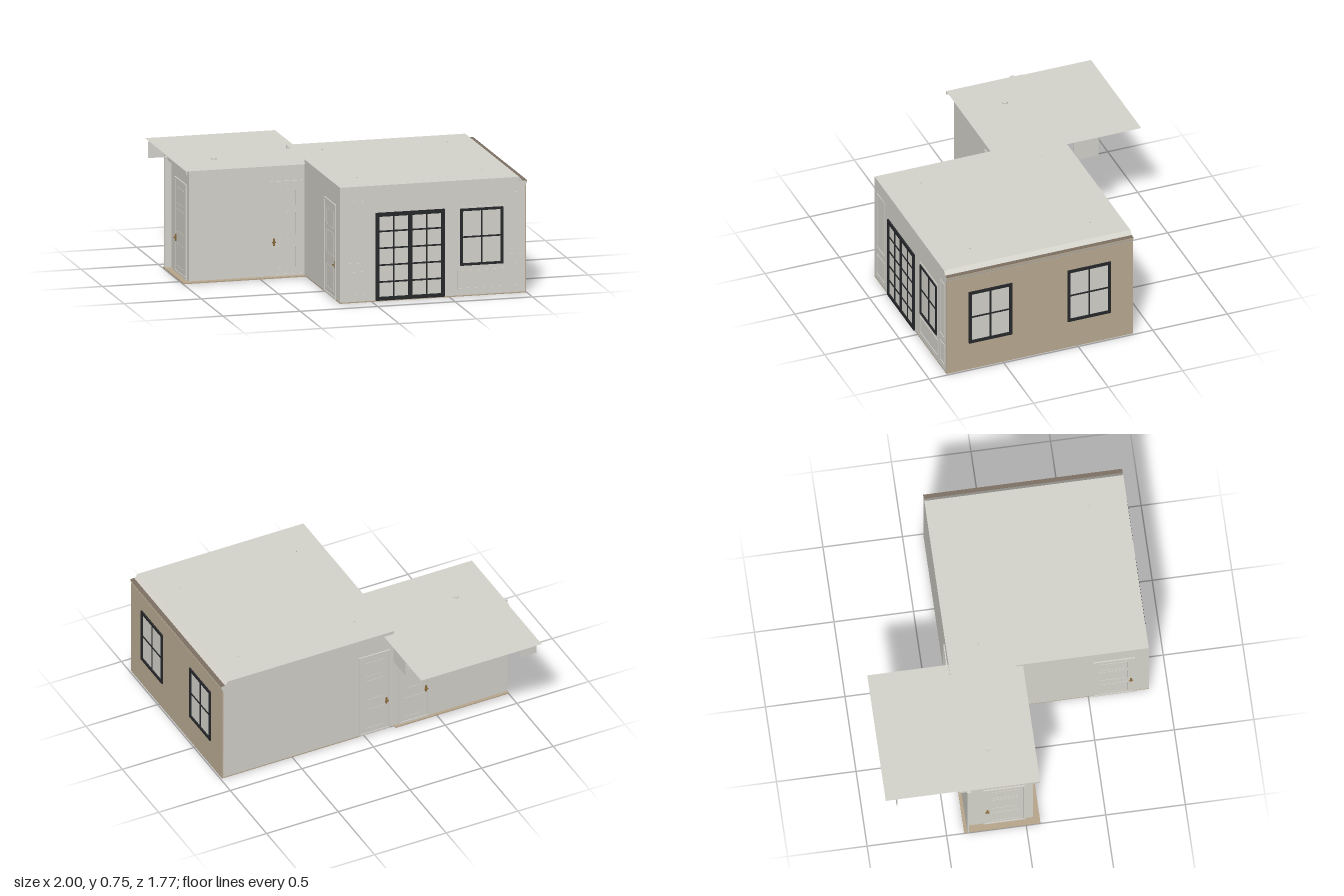
import * as THREE from 'three';

export function createModel() {
  const model = new THREE.Group();
  const mat = (name, color, side = THREE.FrontSide) => {
    const m = new THREE.MeshStandardMaterial({ color, side });
    m.name = name;
    return m;
  };
  const plaster = mat('plaster grey', 0xd6d4cc, THREE.DoubleSide);
  const tan = mat('accent tan', 0xbbac94);
  const wood = mat('floor wood', 0xb8a68c);
  const black = mat('frame black', 0x26282b);
  const brass = mat('handle brass', 0x8a6a3a);
  const brown = mat('ledge brown', 0x7d7163);

  // Box given by its limits on each axis
  function box(name, m, x0, x1, y0, y1, z0, z1, parent = model) {
    const mesh = new THREE.Mesh(new THREE.BoxGeometry(x1 - x0, y1 - y0, z1 - z0), m);
    mesh.position.set((x0 + x1) / 2, (y0 + y1) / 2, (z0 + z1) / 2);
    mesh.name = name;
    parent.add(mesh);
    return mesh;
  }

  // Flat horizontal sheet
  function sheet(name, m, x0, x1, z0, z1, y) {
    const mesh = new THREE.Mesh(new THREE.PlaneGeometry(x1 - x0, z1 - z0), m);
    mesh.rotation.x = -Math.PI / 2;
    mesh.position.set((x0 + x1) / 2, y, (z0 + z1) / 2);
    mesh.name = name;
    model.add(mesh);
  }

  // A group whose local +z points outward from a wall
  function onWall(name, x, z, turn) {
    const g = new THREE.Group();
    g.name = name;
    g.position.set(x, 0, z);
    g.rotation.y = turn;
    model.add(g);
    return g;
  }

  // Rectangular border of four bars
  function border(name, m, x0, x1, y0, y1, t, depth, g) {
    box(name, m, x0, x0 + t, y0, y1, 0, depth, g);
    box(name, m, x1 - t, x1, y0, y1, 0, depth, g);
    box(name, m, x0 + t, x1 - t, y0, y0 + t, 0, depth, g);
    box(name, m, x0 + t, x1 - t, y1 - t, y1, 0, depth, g);
  }

  // Glazed panel with border and glazing bars
  function glazed(g, x0, x1, y0, y1, cols, rows, t) {
    box('glass', plaster, x0 + t, x1 - t, y0 + t, y1 - t, 0, 0.002, g);
    border('frame', black, x0, x1, y0, y1, t, 0.01, g);
    for (let i = 1; i < cols; i++) {
      const x = x0 + (x1 - x0) * i / cols;
      box('glazingBar', black, x - 0.005, x + 0.005, y0 + t, y1 - t, 0, 0.007, g);
    }
    for (let i = 1; i < rows; i++) {
      const y = y0 + (y1 - y0) * i / rows;
      box('glazingBar', black, x0 + t, x1 - t, y - 0.005, y + 0.005, 0, 0.006, g);
    }
  }

  // Panelled door with casing and handle
  function door(name, x, z, turn, w, handleSide) {
    const g = onWall(name, x, z, turn);
    border('casing', plaster, -w / 2 - 0.012, w / 2 + 0.012, 0.01, 0.615, 0.012, 0.008, g);
    box('leaf', plaster, -w / 2, w / 2, 0.012, 0.603, 0, 0.003, g);
    for (const [a, b] of [[0.05, 0.2], [0.27, 0.42], [0.45, 0.56]])
      border('panelMoulding', plaster, -w / 2 + 0.03, w / 2 - 0.03, a, b, 0.006, 0.005, g);
    const hx = handleSide * (w / 2 - 0.012);
    box('handlePlate', brass, hx - 0.006, hx + 0.006, 0.205, 0.25, 0, 0.007, g);
    box('handle', brass, hx - 0.012, hx + 0.012, 0.224, 0.231, 0.007, 0.016, g);
  }

  // Floors and rug
  box('mainFloor', wood, -0.21, 0.99, 0.003, 0.01, -0.37, 0.88);
  box('hallFloor', wood, -1, -0.21, 0.003, 0.01, -0.39, 0.09);
  box('rug', plaster, 0.23, 0.92, 0, 0.013, -0.01, 0.65);

  // Walls
  box('frontWall', plaster, -0.21, 0.985, 0.01, 0.718, 0.87, 0.88);
  box('frontWallTop', plaster, -0.21, 0.95, 0.718, 0.744, 0.87, 0.88);
  box('leftWall', plaster, -0.21, -0.2, 0.01, 0.744, 0.05, 0.87);
  box('backWall', plaster, -1, 0.985, 0.01, 0.718, -0.37, -0.36);
  box('backWallTop', plaster, -0.21, 0.95, 0.718, 0.744, -0.37, -0.36);
  box('accentWall', tan, 0.98, 0.992, 0.003, 0.69, -0.37, 0.88);
  box('hallFrontWall', plaster, -0.955, -0.21, 0.01, 0.72, 0.04, 0.05);
  box('hallEndWall', plaster, -0.955, -0.945, 0.01, 0.72, -0.36, 0.04);

  // Ceilings
  sheet('mainCeiling', plaster, -0.21, 0.945, -0.37, 0.88, 0.745);
  sheet('hallCeiling', plaster, -0.98, -0.14, -0.88, 0.09, 0.722);
  box('ceilingEdgeTrim', plaster, -0.985, -0.975, 0.7, 0.722, -0.42, 0.09);
  box('cornerBracket', plaster, -1, -0.98, 0.7, 0.72, -0.37, -0.345);

  // Crown moulding along the accent wall
  const profile = new THREE.Shape();
  [[0.94, 0.745], [0.947, 0.745], [0.972, 0.718], [0.996, 0.718], [0.996, 0.705],
    [0.99, 0.69], [0.975, 0.69]].forEach(([x, y], i) => i ? profile.lineTo(x, y) : profile.moveTo(x, y));
  const crown = new THREE.Mesh(
    new THREE.ExtrudeGeometry(profile, { depth: 1.25, bevelEnabled: false }), plaster);
  crown.position.z = -0.37;
  crown.name = 'crownMoulding';
  model.add(crown);
  box('crownBand', tan, 0.994, 0.998, 0.705, 0.718, -0.37, 0.88);
  box('crownLedge', brown, 0.972, 0.998, 0.718, 0.721, -0.37, 0.88);

  // Front glazed doors, window and wall panels
  const front = onWall('frontOpenings', 0, 0.88, 0);
  border('doorFrame', black, 0.02, 0.465, 0.01, 0.57, 0.012, 0.01, front);
  glazed(front, 0.03, 0.242, 0.02, 0.558, 2, 5, 0.013);
  glazed(front, 0.242, 0.455, 0.02, 0.558, 2, 5, 0.013);
  border('windowCasing', plaster, 0.555, 0.85, 0.193, 0.575, 0.01, 0.005, front);
  glazed(front, 0.566, 0.842, 0.2, 0.563, 2, 2, 0.015);
  for (const [a, b] of [[-0.165, -0.04], [0.885, 0.965]])
    for (const [c, d] of [[0.05, 0.2], [0.25, 0.65]])
      border('wallPanelMoulding', plaster, a, b, c, d, 0.006, 0.004, front);
  border('windowPanelMoulding', plaster, 0.55, 0.855, 0.05, 0.17, 0.006, 0.004, front);

  // Accent wall windows
  for (const z of [0.587, -0.075]) {
    const g = onWall('sideWindow', 0.991, z, Math.PI / 2);
    glazed(g, -0.145, 0.145, 0.197, 0.575, 2, 2, 0.019);
  }

  // Panelled doors
  door('hallFrontDoor', -0.325, 0.05, 0, 0.19, -1);
  door('backDoor', -0.07, -0.37, Math.PI, 0.19, 1);
  door('backDoor', -0.345, -0.37, Math.PI, 0.19, 1);
  door('hallEndDoor', -0.955, -0.13, -Math.PI / 2, 0.24, -1);
  door('leftDoor', -0.21, 0.66, -Math.PI / 2, 0.24, 1);

  // Hanging panels below the hall ceiling
  box('hallHeader', plaster, -0.173, -0.168, 0.57, 0.715, -0.605, -0.44);
  box('hallVent', plaster, -0.98, -0.86, 0.61, 0.715, -0.812, -0.807);

  // Ceiling light fittings
  for (const [x, z, y, r] of [[-0.035, -0.17, 0.746, 0.006], [0.775, -0.17, 0.746, 0.006],
    [-0.035, 0.64, 0.746, 0.006], [0.775, 0.64, 0.746, 0.006], [-0.725, -0.2, 0.726, 0.018]]) {
    const lamp = new THREE.Mesh(new THREE.CylinderGeometry(r, r, 0.008, 16), plaster);
    lamp.position.set(x, y, z);
    lamp.name = 'lightFitting';
    model.add(lamp);
  }
  return model;
}
